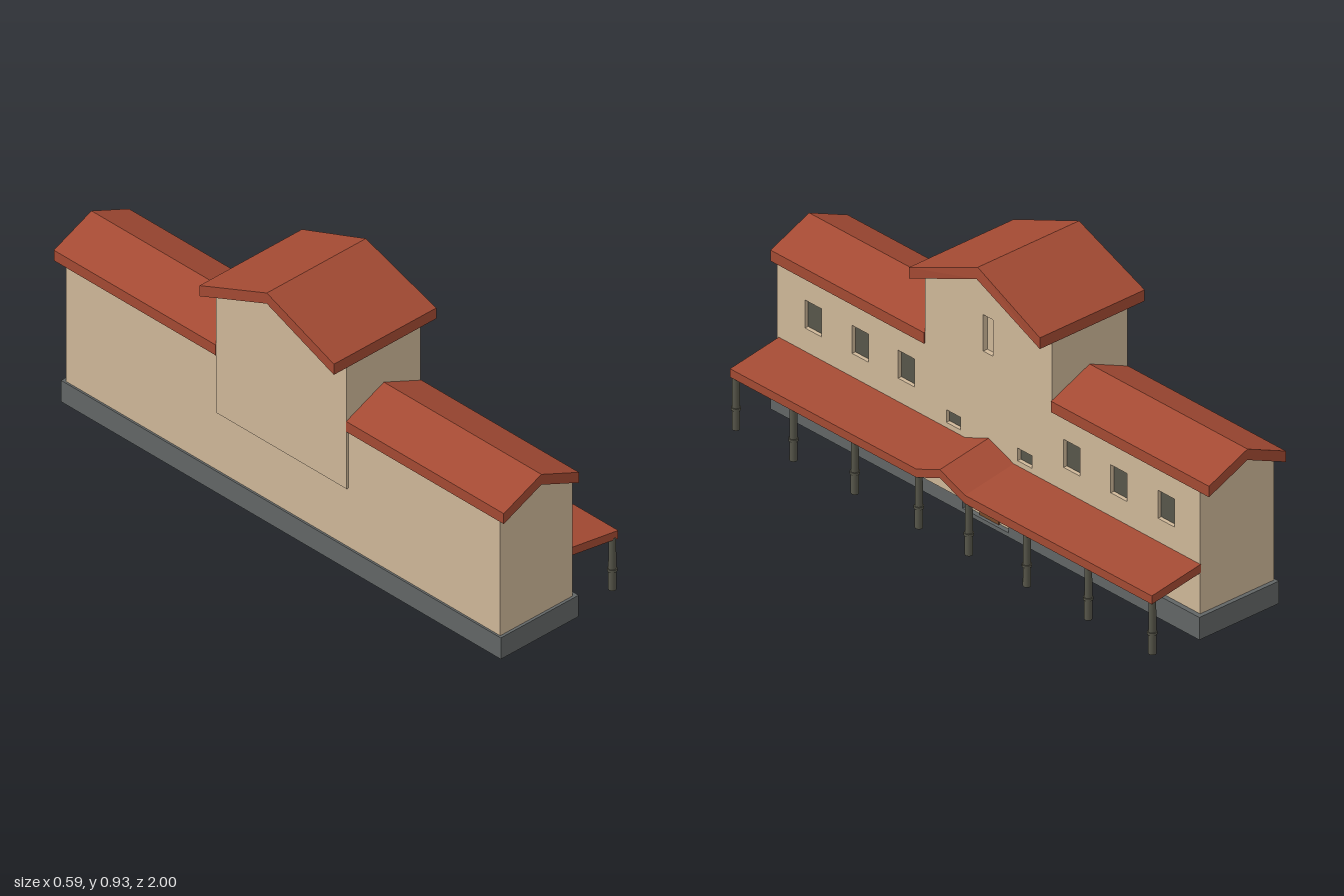
import * as THREE from 'three';

const paint = (color) => new THREE.MeshStandardMaterial({ color });

export function createModel() {
  const model = new THREE.Group();
  const wall = paint(0xcfb899), tile = paint(0xa34a33), stone = paint(0x626666);
  const dark = paint(0x57564a), wood = paint(0x7a4a2a), brass = paint(0xc8b070);

  const add = (name, geometry, material, parent = model) => {
    const mesh = new THREE.Mesh(geometry, material);
    mesh.name = name;
    parent.add(mesh);
    return mesh;
  };
  const group = (name) => {
    const g = new THREE.Group();
    g.name = name;
    model.add(g);
    return g;
  };
  // box from its limits on each axis
  const box = (x0, x1, y0, y1, z0, z1) =>
    new THREE.BoxGeometry(x1 - x0, y1 - y0, z1 - z0)
      .translate((x0 + x1) / 2, (y0 + y1) / 2, (z0 + z1) / 2);
  const outline = (points) => new THREE.Shape(points.map((p) => new THREE.Vector2(...p)));
  // (x, y) profile swept along z
  const alongZ = (shape, z0, z1) =>
    new THREE.ExtrudeGeometry(shape, { depth: z1 - z0, bevelEnabled: false }).translate(0, 0, z0);
  // (z, y) profile swept along x
  const alongX = (shape, x0, x1) =>
    new THREE.ExtrudeGeometry(shape, { depth: x1 - x0, bevelEnabled: false, curveSegments: 8 })
      .rotateY(-Math.PI / 2).translate(x1, 0, 0);
  // band of constant height hanging below a top line
  const band = (top, t) =>
    outline([...top, ...[...top].reverse().map(([u, v]) => [u, v - t])]);
  const reshape = (geometry, rule) => {
    const pos = geometry.attributes.position;
    const v = new THREE.Vector3();
    for (let i = 0; i < pos.count; i++) {
      rule(v.fromBufferAttribute(pos, i));
      pos.setXYZ(i, v.x, v.y, v.z);
    }
    geometry.computeVertexNormals();
    return geometry;
  };

  // stone base, open in front of the door
  const base = group('base');
  add('baseCore', box(-0.23, 0.08, 0, 0.08, -0.97, 0.985), stone, base);
  add('baseFrontLeft', box(0.08, 0.105, 0, 0.08, -0.97, -0.1), stone, base);
  add('baseFrontRight', box(0.08, 0.105, 0, 0.08, 0.11, 0.985), stone, base);
  add('doorStep', box(0.08, 0.105, 0, 0.015, -0.1, 0.11), stone, base);

  // long hall and cross-gabled tower
  add('hallWalls', alongZ(outline([
    [-0.223, 0.08], [0.07, 0.08], [0.07, 0.525], [-0.07, 0.59], [-0.223, 0.52],
  ]), -0.955, 0.975), wall);
  add('towerWalls', alongX(outline([
    [-0.28, 0.3], [0.3, 0.3], [0.3, 0.775], [0.012, 0.89], [-0.28, 0.775],
  ]), -0.23, 0.07), wall);

  // front wall with window openings
  const windows = [0.81, 0.595, 0.385, -0.37, -0.585, -0.8].map((z) => [z, 0.39, 0.075, 0.1]);
  windows.push([0.17, 0.298, 0.065, 0.045], [-0.155, 0.298, 0.065, 0.045]);
  const slit = [-0.0 + 0.012, 0.665, 0.045, 0.13];
  const front = outline([
    [-0.955, 0.01], [0.975, 0.01], [0.975, 0.517], [0.3, 0.517], [0.3, 0.775],
    [0.012, 0.89], [-0.28, 0.775], [-0.28, 0.517], [-0.955, 0.517],
  ]);
  for (const [z, y, w, h] of [...windows, slit]) {
    front.holes.push(new THREE.Path([
      new THREE.Vector2(z - w / 2, y - h / 2), new THREE.Vector2(z - w / 2, y + h / 2),
      new THREE.Vector2(z + w / 2, y + h / 2), new THREE.Vector2(z + w / 2, y - h / 2),
    ]));
  }
  add('frontWall', alongX(front, 0.07, 0.088), wall);
  const panes = group('windowPanes');
  for (const [z, y, w, h] of windows) {
    add('windowPane', box(0.068, 0.074, y - h / 2, y + h / 2, z - w / 2, z + w / 2), dark, panes);
  }

  // hall roof on both sides of the tower
  const hallRoof = band([[0.092, 0.555], [-0.07, 0.625], [-0.232, 0.555]], 0.039);
  add('hallRoofFront', alongZ(hallRoof, 0.3, 1), tile);
  add('hallRoofBack', alongZ(hallRoof, -1, -0.28), tile);

  // tower roof, its ridge a little shorter at the door side
  add('towerRoof', reshape(
    alongX(band([[0.31, 0.805], [0.012, 0.925], [-0.287, 0.805]], 0.04), -0.295, 0.146),
    (v) => { if (v.x > 0) v.x -= Math.max(0, v.y - 0.805) * 0.12; },
  ), tile);

  // porch roof sloping away from the wall, with a small gable over the door
  const slope = (v) => { v.y -= (v.x - 0.088) * 0.16; };
  add('porchRoof', reshape(alongX(band([
    [0.967, 0.257], [0.117, 0.257], [0.01, 0.3], [-0.105, 0.257], [-0.957, 0.257],
  ], 0.03), 0.085, 0.293), slope), tile);
  add('porchGable', reshape(alongX(outline([
    [-0.1, 0.228], [0.112, 0.228], [0.01, 0.271],
  ]), 0.085, 0.282), slope), wall);

  // porch columns with a collar
  const columns = group('porchColumns');
  for (const z of [0.957, 0.695, 0.415, 0.123, -0.105, -0.37, -0.65, -0.942]) {
    const column = new THREE.Group();
    column.name = 'column';
    column.position.set(0.277, 0, z);
    columns.add(column);
    add('shaft', new THREE.CylinderGeometry(0.012, 0.013, 0.195, 16).translate(0, 0.1055, 0), dark, column);
    add('collar', new THREE.CylinderGeometry(0.016, 0.016, 0.009, 16).translate(0, 0.082, 0), dark, column);
  }

  // arched door with knob
  const door = group('door');
  const leaf = new THREE.Shape();
  leaf.moveTo(-0.042, 0.015);
  leaf.lineTo(0.045, 0.015);
  leaf.lineTo(0.045, 0.145);
  leaf.absarc(0.0015, 0.145, 0.0435, 0, Math.PI, false);
  leaf.closePath();
  add('doorLeaf', alongX(leaf, 0.08, 0.094), wood, door);
  add('doorKnob', new THREE.SphereGeometry(0.005, 10, 8).translate(0.097, 0.088, -0.032), brass, door);

  return model;
}
